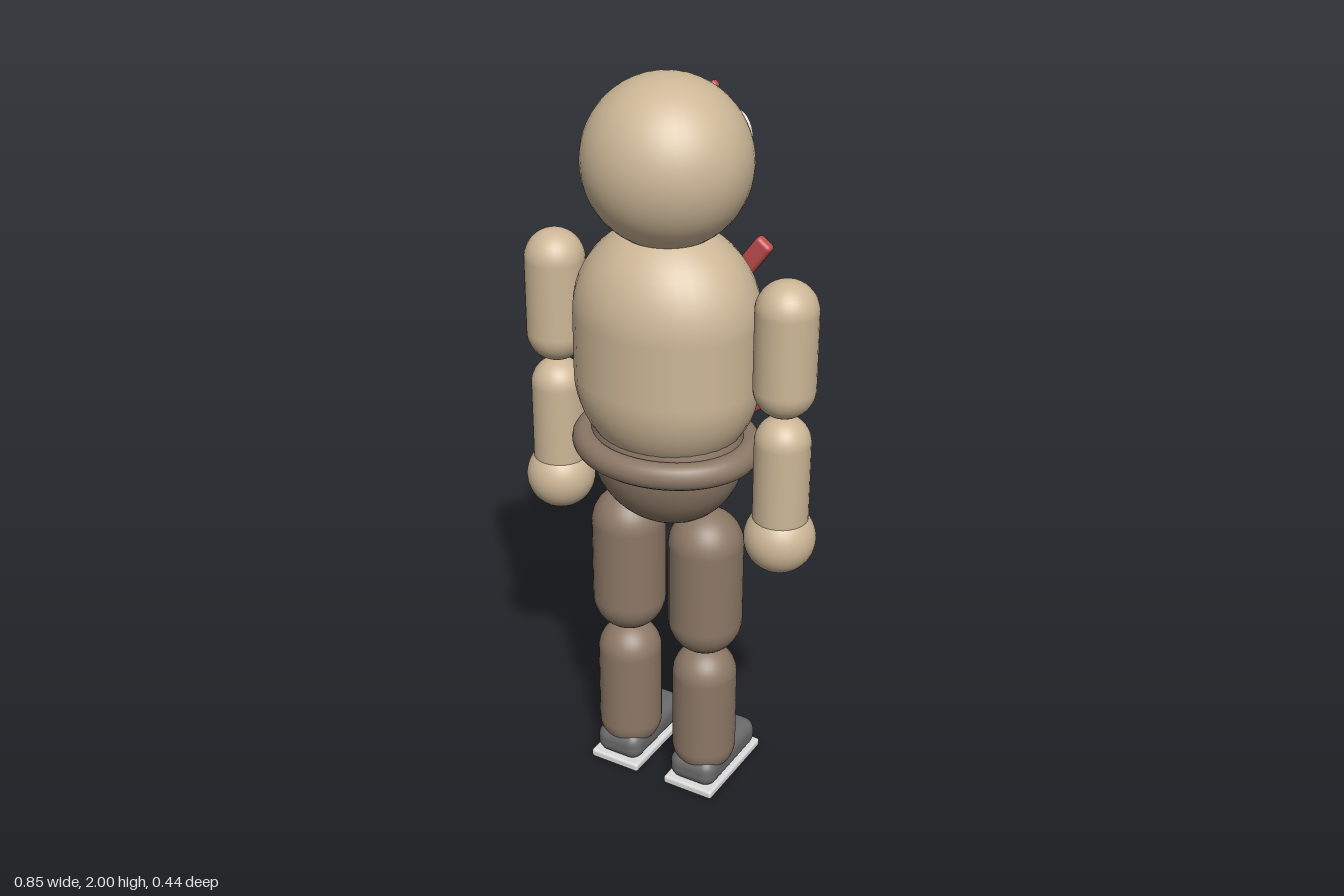
import * as THREE from 'three';
import { RoundedBoxGeometry } from 'three/addons/geometries/RoundedBoxGeometry.js';

const material = (name, color) => {
  const m = new THREE.MeshStandardMaterial({ color });
  m.name = name;
  return m;
};

export function createModel() {
  const skin = material('tan', 0xcdb797);
  const trousers = material('brown', 0x8c7866);
  const red = material('red', 0xc04c4e);
  const dark = material('dark grey', 0x6a6a6a);
  const white = material('off white', 0xdcdcdc);

  const model = new THREE.Group();
  model.name = 'figure';

  function add(name, geometry, mat, x, y, z, parent = model) {
    const mesh = new THREE.Mesh(geometry, mat);
    mesh.name = name;
    mesh.position.set(x, y, z);
    parent.add(mesh);
    return mesh;
  }
  // Upright capsule between two heights
  const capsule = (name, r, y0, y1, mat, x, parent) =>
    add(name, new THREE.CapsuleGeometry(r, y1 - y0 - 2 * r, 12, 32), mat, x, (y0 + y1) / 2, 0, parent);
  const ball = (name, rx, ry, rz, mat, x, y, z, parent) =>
    add(name, new THREE.SphereGeometry(1, 40, 28).scale(rx, ry, rz), mat, x, y, z, parent);

  // Two crossed bars, tilted by an angle from vertical
  function cross(name, length, width, depth, angle, y, z) {
    const group = new THREE.Group();
    group.name = name;
    group.position.set(0, y, z);
    model.add(group);
    for (const s of [-1, 1]) {
      const geo = new RoundedBoxGeometry(width, length, depth, 3, depth * 0.35);
      add('crossBar', geo, red, 0, 0, 0, group).rotation.z = s * angle;
    }
  }

  // Head, torso, hips and belt; the face looks toward -z
  ball('head', 0.213, 0.213, 0.206, skin, 0, 1.787, 0);
  capsule('torso', 0.246, 0.98, 1.637, skin, 0).scale.z = 0.86;
  ball('hips', 0.21, 0.21, 0.173, trousers, 0, 1.02, 0);
  const belt = add('belt', new THREE.TorusGeometry(0.219, 0.036, 16, 64).rotateX(Math.PI / 2), trousers, 0, 1.034, 0);
  belt.scale.z = 0.86;

  // Red crosses on forehead and chest
  cross('foreheadCross', 0.11, 0.022, 0.022, 0.8, 1.902, -0.169);
  cross('chestCross', 0.575, 0.05, 0.032, 0.625, 1.312, -0.204);

  // Paired parts
  for (const s of [-1, 1]) {
    const arm = new THREE.Group();
    arm.name = s > 0 ? 'leftArm' : 'rightArm';
    model.add(arm);
    capsule('upperArm', 0.079, 1.19, 1.55, skin, s * 0.333, arm);
    capsule('forearm', 0.072, 0.84, 1.19, skin, s * 0.333, arm);
    ball('hand', 0.093, 0.093, 0.093, skin, s * 0.333, 0.845, 0, arm);

    const leg = new THREE.Group();
    leg.name = s > 0 ? 'leftLeg' : 'rightLeg';
    model.add(leg);
    capsule('thigh', 0.1, 0.43, 0.86, trousers, s * 0.119, leg);
    capsule('shin', 0.088, 0.035, 0.44, trousers, s * 0.119, leg);
    add('shoe', new RoundedBoxGeometry(0.14, 0.085, 0.275, 5, 0.035), dark, s * 0.119, 0.06, -0.052, leg);
    add('sole', new RoundedBoxGeometry(0.152, 0.025, 0.29, 2, 0.008), white, s * 0.119, 0.0125, -0.05, leg);

    const eye = new THREE.Group();
    eye.name = s > 0 ? 'leftEye' : 'rightEye';
    eye.position.set(s * 0.083, 1.812, -0.19);
    eye.rotation.y = -s * 0.18;
    model.add(eye);
    ball('eyeball', 0.05, 0.065, 0.022, white, 0, 0, 0, eye);
    ball('pupil', 0.028, 0.032, 0.016, dark, 0, 0.004, -0.018, eye);
  }
  return model;
}
